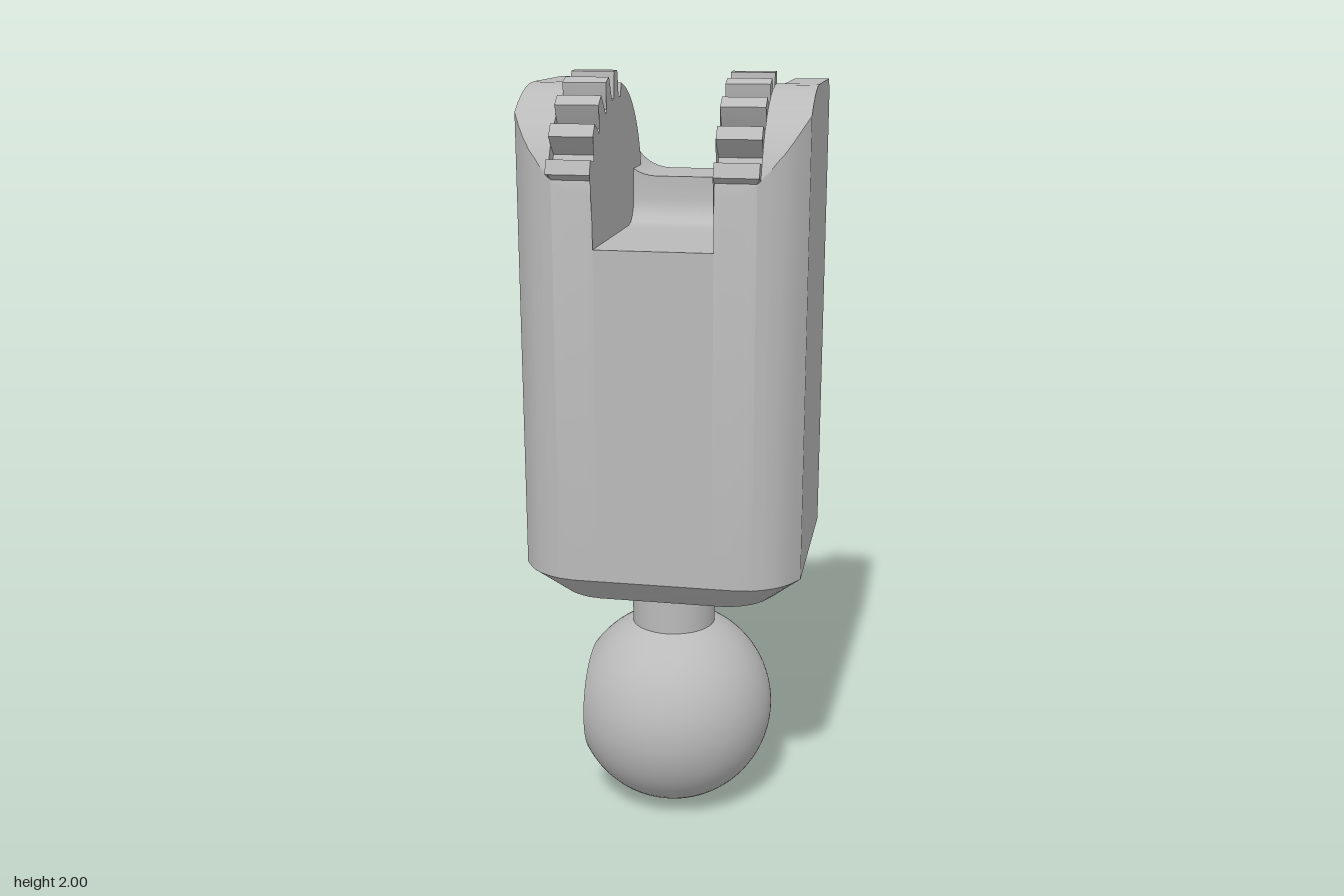
import * as THREE from 'three';
import { toCreasedNormals } from 'three/addons/utils/BufferGeometryUtils.js';

const CY = 1.67, CZ = 0.05, R = 0.3;          // axis and radius of the toothed lugs
const ZF = 0.345, ZB = -0.36, BASE = 0.73;
const rad = THREE.MathUtils.degToRad;

// Linear interpolation through a few [x, y] points
function lerpPoints(pts, x) {
  for (let i = 1; i < pts.length; i++) {
    const [x0, y0] = pts[i - 1], [x1, y1] = pts[i];
    if (x <= x1) return y0 + (y1 - y0) * Math.max(0, (x - x0) / (x1 - x0));
  }
  return pts[pts.length - 1][1];
}

// Plan corner: how far the front and back faces are set in at a given x
const CORNER = [[0.21, 0], [0.25, 0.006], [0.28, 0.018], [0.31, 0.036], [0.33, 0.055], [0.345, 0.075], [0.365, 0.11]];
const inset = (x) => lerpPoints(CORNER, x);

// Rear notch: flat floor, rounded corner, sloping side
function notch(x) {
  if (x < 0.085) return 1.715;
  if (x < 0.185) return 1.83 - Math.sqrt(0.115 ** 2 - (x - 0.085) ** 2);
  return lerpPoints([[0.185, 1.7725], [0.22, 1.832], [0.268, 1.915], [0.277, 1.94]], x);
}

// Roof line behind the lug axis, with the rear chamfer
const roof = (z) => Math.min(1.97, 1.97 + (z + 0.22));

// Gear outline as [angle from vertical, radius], front to back
const GEAR = [[90, R]];
for (let k = 4; k >= 0; k--) {
  const c = 2.7 + 16.6 * k;
  if (k < 4) GEAR.push([c + 5.8, 0.265]);
  GEAR.push([c + 4.5, R], [c + 3.2, 0.33], [c - 3.2, 0.33], [c - 4.5, R], [c - 5.8, 0.265]);
}
GEAR.push([-8.1, 0.265], [-9.3, R]);

// Cross-section [z, y] at x; zones: slot, gear, lug, wall
function section(x, zone) {
  const zf = ZF - inset(x), zb = ZB + inset(x), n = notch(x);
  const maxA = Math.asin((zf - CZ) / R);
  const pts = [[zf, BASE]];
  for (const [deg, gr] of GEAR) {
    const a = Math.min(rad(deg), maxA), r = zone === 'gear' ? gr : R;
    const z = CZ + r * Math.sin(a);
    if (zone === 'slot') pts.push([z, 1.59]);
    else if (zone === 'wall' && a < 0) pts.push([z, 1.97]);
    else pts.push([z, CY + r * Math.cos(a)]);
  }
  const aEnd = -Math.acos((n - CY) / R), zEnd = CZ + R * Math.sin(aEnd);
  if (zone === 'slot') {
    pts.push([-0.04, 1.59]);
    for (let i = 0; i < 5; i++) {              // fillet at the end of the slot
      const a = (i / 4) * Math.PI / 2;
      pts.push([-0.075 - 0.065 * Math.sin(a), 1.655 - 0.065 * Math.cos(a)]);
    }
    for (let i = 0; i < 4; i++) pts.push([-0.14 + (zEnd + 0.14) * i / 3, n]);
  } else {
    const a0 = rad(-9.3);
    for (let i = 1; i <= 10; i++) {
      const a = a0 + (aEnd - a0) * i / 10, z = CZ + R * Math.sin(a);
      pts.push([z, zone === 'wall' ? roof(z) : CY + R * Math.cos(a)]);
    }
  }
  for (const t of [-0.15, -0.22, -0.22 - (1.97 - n), zb]) {
    const z = Math.max(zb, Math.min(zEnd, t));
    pts.push([z, zone === 'wall' ? roof(z) : Math.min(n, roof(z))]);
  }
  pts.push([zb, BASE]);
  return pts.map(([z, y]) => new THREE.Vector3(x, y, z));
}

// Collects quads, leaving out empty triangles
function surface() {
  const S = 100, pos = [];
  const tri = (a, b, c) => {
    const area = b.clone().sub(a).cross(c.clone().sub(a)).length();
    if (area > 1e-9) for (const v of [a, b, c]) pos.push(v.x * S, v.y * S, v.z * S);
  };
  return {
    tri,
    quad(a, b, c, d) { tri(a, b, c); tri(a, c, d); },
    build() {
      const g = new THREE.BufferGeometry();
      g.setAttribute('position', new THREE.Float32BufferAttribute(pos, 3));
      return toCreasedNormals(g, 0.45).scale(1 / S, 1 / S, 1 / S);
    },
  };
}

function housingGeometry() {
  const zones = {
    slot: [0, 0.05, 0.085, 0.1, 0.12, 0.135, 0.148],
    gear: [0.148, 0.165, 0.185, 0.21, 0.22, 0.235, 0.25, 0.258],
    lug: [0.258, 0.268, 0.277],
    wall: [0.277, 0.28, 0.295, 0.31, 0.33, 0.345, 0.365],
  };
  const half = [];
  for (const zone in zones) for (const x of zones[zone]) half.push(section(x, zone));
  const flip = (s) => s.map((v) => new THREE.Vector3(-v.x, v.y, v.z));
  const rows = [...half.slice(1).reverse().map(flip), ...half];
  const s = surface();
  for (let i = 0; i + 1 < rows.length; i++) {
    const p = rows[i], q = rows[i + 1];
    for (let j = 0; j + 1 < p.length; j++) s.quad(p[j], q[j], q[j + 1], p[j + 1]);
  }
  // Flat left and right sides
  const down = (v) => new THREE.Vector3(v.x, BASE, v.z);
  const l = rows[0], r = rows[rows.length - 1];
  for (let j = 0; j + 1 < r.length; j++) {
    s.quad(down(r[j]), down(r[j + 1]), r[j + 1], r[j]);
    s.quad(l[j], l[j + 1], down(l[j + 1]), down(l[j]));
  }
  return s.build();
}

// Chamfered underside: plan outline drawn in towards the bottom
function undersideGeometry() {
  const front = CORNER.map(([x, d]) => [x, ZF - d]);
  const back = CORNER.map(([x, d]) => [x, ZB + d]).reverse();
  const right = [...front, ...back];
  const loop = [...right, ...right.map(([x, z]) => [-x, z]).reverse()];
  const mid = (ZF + ZB) / 2, k = 0.77, y = 0.65;
  const top = loop.map(([x, z]) => new THREE.Vector3(x, BASE, z));
  const low = loop.map(([x, z]) => new THREE.Vector3(x * k, y, mid + (z - mid) * k));
  const centre = new THREE.Vector3(0, y, mid);
  const s = surface();
  for (let i = 0; i < loop.length; i++) {
    const j = (i + 1) % loop.length;
    s.quad(low[i], low[j], top[j], top[i]);
    s.tri(centre, low[j], low[i]);
  }
  return s.build();
}

// Ball with one flat side, turned about the x axis
function ballGeometry() {
  const r = 0.274, cut = -0.225, a0 = Math.asin(cut / r), pts = [];
  for (let i = 0; i <= 32; i++) {
    const a = a0 + (Math.PI / 2 - a0) * i / 32;
    pts.push(new THREE.Vector2(Math.max(0, r * Math.cos(a)), r * Math.sin(a)));
  }
  return new THREE.LatheGeometry(pts, 64).rotateZ(-Math.PI / 2);
}

export function createModel() {
  const grey = new THREE.MeshStandardMaterial({ color: 0xbababa });
  grey.name = 'light grey';
  const group = new THREE.Group();
  group.name = 'ballJointConnector';
  const add = (name, geometry, x = 0, y = 0, z = 0) => {
    const mesh = new THREE.Mesh(geometry, grey);
    mesh.name = name;
    mesh.position.set(x, y, z);
    group.add(mesh);
    return mesh;
  };
  add('toothedHousing', housingGeometry());
  add('chamferedUnderside', undersideGeometry());
  add('neck', new THREE.CylinderGeometry(0.113, 0.113, 0.16, 48, 1, true), 0, 0.575, 0.065);
  add('ball', ballGeometry(), 0, 0.274, 0.065);
  const flat = add('ballFlat', new THREE.CircleGeometry(0.1564, 64), -0.225, 0.274, 0.065);
  flat.rotation.y = -Math.PI / 2;
  return group;
}
